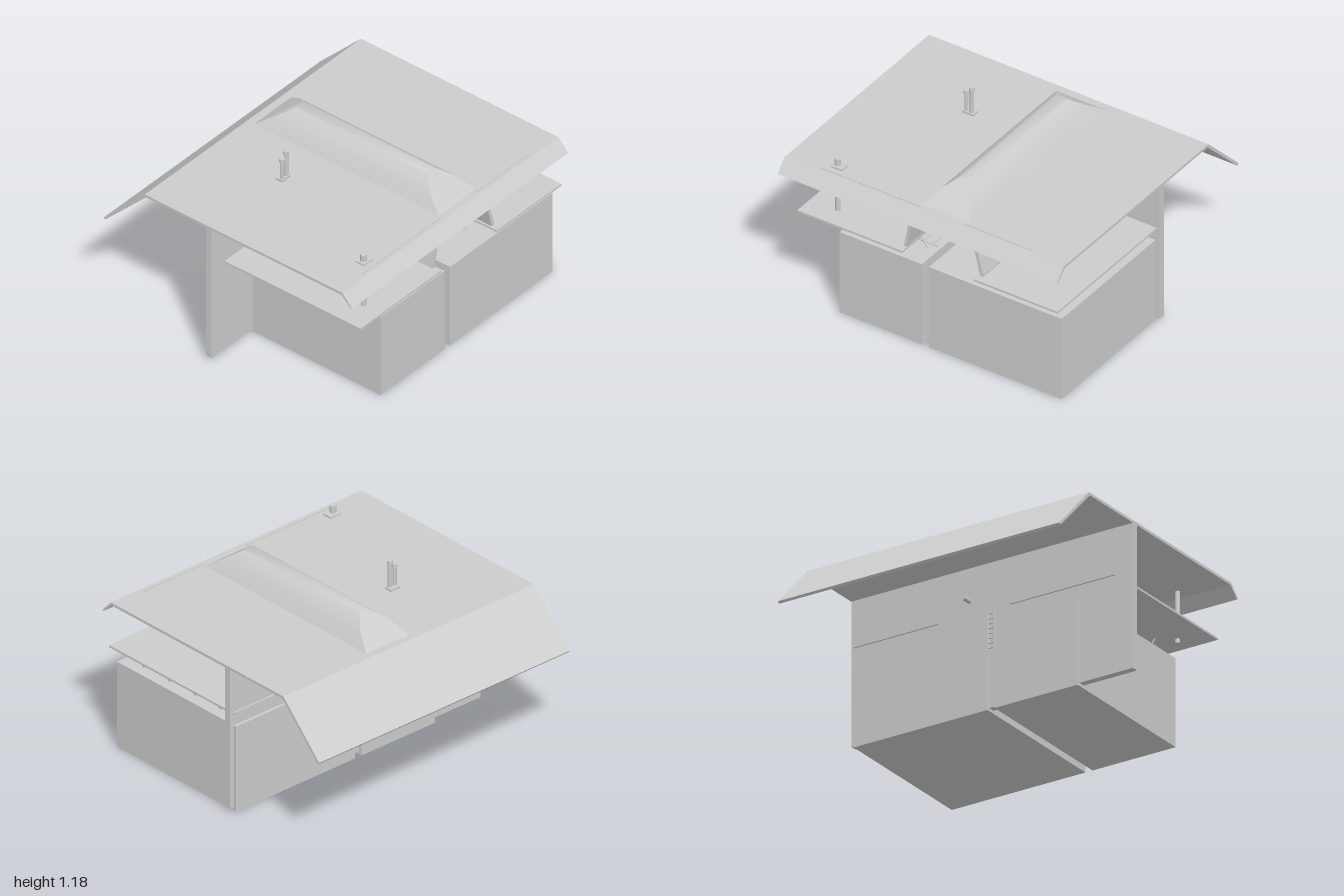
import * as THREE from 'three';
import { toCreasedNormals } from 'three/addons/utils/BufferGeometryUtils.js';

const mat = new THREE.MeshStandardMaterial({ color: 0xcccccc, side: THREE.DoubleSide });
const V = (x, y, z) => new THREE.Vector3(x, y, z);

export function createModel() {
  const root = new THREE.Group();
  const add = (name, geo, parent = root) => {
    const m = new THREE.Mesh(geo, mat);
    m.name = name;
    parent.add(m);
    return m;
  };
  const group = (name) => {
    const g = new THREE.Group();
    g.name = name;
    root.add(g);
    return g;
  };
  // Box given by its limits on each axis
  const box = (name, x0, x1, y0, y1, z0, z1, parent) => {
    const g = new THREE.BoxGeometry(x1 - x0, y1 - y0, z1 - z0);
    g.translate((x0 + x1) / 2, (y0 + y1) / 2, (z0 + z1) / 2);
    return add(name, g, parent);
  };
  // Round rod between two points
  const rod = (name, a, b, r, parent, sides = 8) => {
    const m = add(name, new THREE.CylinderGeometry(r, r, a.distanceTo(b), sides), parent);
    m.position.copy(a).add(b).multiplyScalar(0.5);
    m.quaternion.setFromUnitVectors(V(0, 1, 0), b.clone().sub(a).normalize());
    return m;
  };
  const polygon = (pts) => new THREE.Shape(pts.map(([x, y]) => new THREE.Vector2(x, y)));

  // Two solid blocks with a narrow passage between them
  box('smallBlock', -0.62, -0.03, 0, 0.58, -0.19, 0.86);
  box('largeBlock', 0.02, 0.97, 0, 0.58, -0.19, 0.86);

  // Back wall
  box('backWall', -1, 1, 0.02, 0.97, -0.17, -0.125);

  // Folded roof sheet, profile in z and y
  const roof = new THREE.ExtrudeGeometry(polygon([
    [0.955, 0.905], [0.88, 0.985], [-0.64, 0.985], [-0.955, 0.665],
    [-0.945, 0.652], [-0.63, 0.967], [0.873, 0.967], [0.945, 0.9],
  ]), { depth: 2, bevelEnabled: false });
  roof.rotateY(-Math.PI / 2);
  roof.translate(1, 0, 0);
  add('roof', roof);
  box('roofRail', -0.77, -0.05, 0.985, 0.989, 0.845, 0.855);
  box('roofRail', 0.27, 0.76, 0.985, 0.989, 0.845, 0.855);

  // Rounded roof ridge with sloping ends
  const arch = [[-0.05, 0.983], [0.01, 1.065], [0.05, 1.098], [0.09, 1.126],
    [0.155, 1.126], [0.195, 1.098], [0.235, 1.065], [0.295, 0.983]];
  const front = arch.map(([x, y]) => V(x, y, 0.833 - (y - 0.983) * 1.42));
  const back = arch.map(([x, y]) => V(x, y, -0.59 + (y - 0.983) * 1.44));
  const tris = [];
  for (let i = 0; i < arch.length - 1; i++) {
    tris.push(front[i], front[i + 1], back[i], front[i + 1], back[i + 1], back[i]);
    if (i > 0) tris.push(front[0], front[i + 1], front[i], back[0], back[i], back[i + 1]);
  }
  const ridge = new THREE.BufferGeometry().setFromPoints(tris);
  add('roofRidge', toCreasedNormals(ridge, 0.7));

  // Sloping baffles under the ridge
  const baffle = (pts) => {
    const g = new THREE.ExtrudeGeometry(polygon(pts), { depth: 0.995, bevelEnabled: false });
    g.translate(0, 0, -0.125);
    add('baffle', g);
  };
  baffle([[-0.075, 0.97], [-0.095, 0.97], [-0.155, 0.66], [-0.135, 0.66]]);
  baffle([[0.32, 0.97], [0.34, 0.97], [0.415, 0.68], [0.415, 0.66], [0.395, 0.66]]);
  box('baffleRib', 0.415, 0.427, 0.7, 0.97, -0.125, -0.1);

  // Raised decks on slanting struts
  box('smallDeck', -0.88, -0.13, 0.657, 0.671, -0.18, 0.92);
  box('largeDeck', 0.38, 0.98, 0.657, 0.671, -0.18, 0.92);
  const struts = group('deckStruts');
  for (const z of [0.7, 0.475, 0.25, 0.025]) {
    for (const [top, foot] of [[-0.58, -0.53], [-0.15, -0.09], [0.4, 0.34], [0.95, 0.89]]) {
      rod('strut', V(top, 0.66, z), V(foot, 0.578, z), 0.007, struts);
    }
  }

  // Fan set against the back wall
  const fan = group('fan');
  fan.position.set(0.16, 0.75, -0.075);
  const ring = new THREE.LatheGeometry([[0.126, -0.05], [0.14, -0.05], [0.14, 0.05],
    [0.126, 0.05], [0.126, -0.05]].map(([r, y]) => new THREE.Vector2(r, y)), 40);
  ring.rotateX(Math.PI / 2);
  add('fanCasing', toCreasedNormals(ring, 0.6), fan);
  for (let i = 0; i < 8; i++) {
    const blade = new THREE.BoxGeometry(0.042, 0.095, 0.004);
    blade.rotateY(0.55);
    blade.translate(0, 0.075, 0.02);
    blade.rotateZ((i * Math.PI) / 4);
    add('fanBlade', blade, fan);
  }
  rod('fanHub', V(0, 0, 0), V(0, 0, 0.045), 0.032, fan, 20);
  rod('fanShaft', V(0, 0, -0.165), V(0, 0, 0.05), 0.014, fan, 16);

  // Twin pipes bending from the roof to the fan
  const pipes = group('twinPipes');
  box('pipeBase', -0.39, -0.31, 0.98, 1.0, -0.14, -0.09, pipes);
  for (const [x, top, y] of [[-0.37, 1.145, 0.745], [-0.332, 1.18, 0.783]]) {
    const z = -0.108, r = 0.05;
    rod('stack', V(x, 0.96, z), V(x, top, z), 0.013, pipes, 16);
    rod('stackCap', V(x, top - 0.022, z), V(x, top, z), 0.018, pipes, 16);
    const path = new THREE.CurvePath();
    path.add(new THREE.LineCurve3(V(x, 0.97, z), V(x, y + r, z)));
    path.add(new THREE.QuadraticBezierCurve3(V(x, y + r, z), V(x, y, z), V(x + r, y, z)));
    path.add(new THREE.LineCurve3(V(x + r, y, z), V(0.03, y, z)));
    add('bentPipe', new THREE.TubeGeometry(path, 48, 0.012, 10), pipes);
    for (const cx of [x + r, -0.16, 0.0]) {
      rod('pipeCollar', V(cx, y, z), V(cx + 0.015, y, z), 0.016, pipes, 12);
    }
  }

  // Single stack near the front
  const stack = group('frontStack');
  box('stackBase', -0.717, -0.635, 0.98, 0.996, 0.745, 0.813, stack);
  rod('stackPipe', V(-0.685, 0.63, 0.782), V(-0.685, 1.03, 0.782), 0.016, stack, 16);
  rod('stackCap', V(-0.685, 1.0, 0.782), V(-0.685, 1.045, 0.782), 0.02, stack, 16);

  // Ladder in the passage
  const ladder = group('ladder');
  for (const x of [-0.026, 0.016]) rod('ladderRail', V(x, 0.38, -0.19), V(x, 0.64, -0.19), 0.004, ladder);
  for (let y = 0.4; y < 0.63; y += 0.032) {
    rod('rung', V(-0.026, y, -0.19), V(0.016, y, -0.19), 0.004, ladder);
  }

  // Low frame with a cradle on the small block
  const frame = group('cradleFrame');
  for (const z of [0.32, 0.66]) rod('frameBar', V(-0.61, 0.587, z), V(-0.05, 0.587, z), 0.005, frame);
  for (let i = 0; i < 8; i++) {
    const x = -0.58 + i * 0.07;
    rod('crossBar', V(x, 0.585, 0.32), V(x, 0.585, 0.66), 0.004, frame);
  }
  for (const z of [0.32, 0.41]) {
    const pts = [V(-0.48, 0.585, z), V(-0.45, 0.622, z), V(-0.33, 0.622, z), V(-0.3, 0.585, z)];
    for (let i = 0; i < 3; i++) rod('cradleBar', pts[i], pts[i + 1], 0.007, frame);
  }
  box('cradleSeat', -0.45, -0.33, 0.585, 0.605, 0.31, 0.42, frame);

  // Spidery stand spanning the passage
  const stand = group('stand');
  const hub = V(-0.08, 0.645, 0.4);
  rod('standHub', V(-0.1, 0.64, 0.4), V(-0.05, 0.64, 0.4), 0.02, stand, 12);
  for (const [x, y, z] of [[-0.2, 0.582, 0.32], [-0.2, 0.582, 0.5], [0.05, 0.582, 0.32],
    [0.05, 0.582, 0.5], [-0.24, 0.685, 0.42], [-0.11, 0.69, 0.44]]) {
    rod('standLeg', hub, V(x, y, z), 0.006, stand);
  }
  return root;
}
